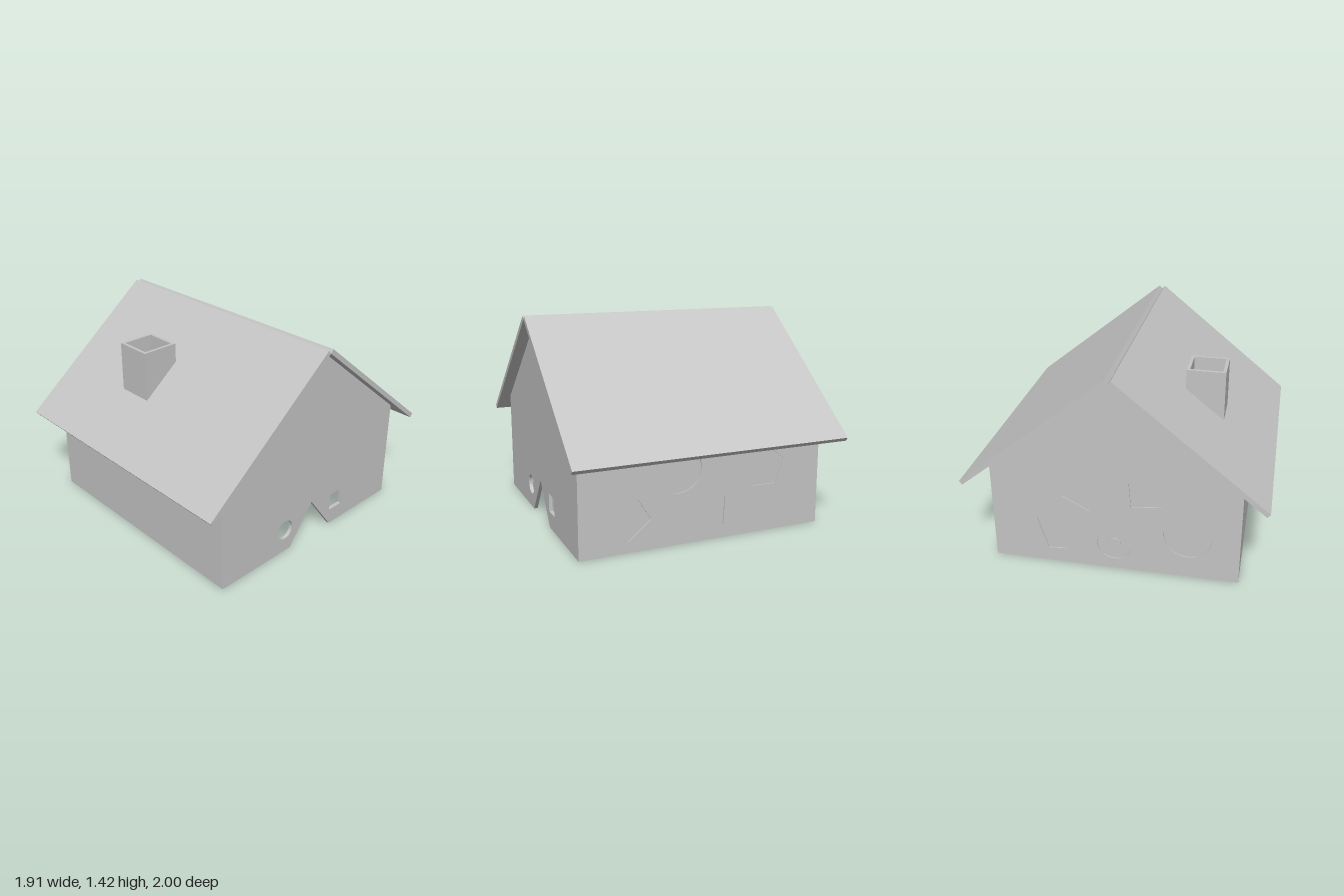
import * as THREE from 'three';

const gray = new THREE.MeshStandardMaterial({ color: 0xc4c4c4 });
gray.name = 'plain gray';
const T = 0.025; // wall thickness

const V = (x, y) => new THREE.Vector2(x, y);
const poly = (pts) => pts.map(([x, y]) => V(x, y));
// Regular polygon or circle outline
const ngon = (cx, cy, r, n = 40, turn = Math.PI / 2) =>
  Array.from({ length: n }, (_, i) => {
    const a = turn + (i / n) * Math.PI * 2;
    return V(cx + r * Math.cos(a), cy + r * Math.sin(a));
  });

function add(group, name, geometry) {
  const m = new THREE.Mesh(geometry, gray);
  m.name = name;
  group.add(m);
  return m;
}

function plate(outline, holes, depth) {
  const s = new THREE.Shape(outline);
  holes.forEach((h) => s.holes.push(new THREE.Path(h)));
  return new THREE.ExtrudeGeometry(s, { depth, bevelEnabled: false });
}

// Wall in its own xy plane, with shaped inserts set back by lo and hi from its two faces
function wall(name, outline, cutouts, inserts, lo, hi) {
  const g = new THREE.Group();
  g.name = name;
  add(g, name + 'Panel', plate(outline, [...cutouts, ...inserts], T));
  inserts.forEach((o) => {
    add(g, 'shapeInsert', plate(o, [], T - lo - hi)).position.z = lo;
  });
  return g;
}

export function createModel() {
  const house = new THREE.Group();
  house.name = 'house';

  // Long walls, between the gables
  const side = poly([[-0.82, 0], [0.85, 0], [0.85, 0.735], [-0.82, 0.735]]);
  const front = wall('frontWall', side, [], [
    ngon(0.4, 0.23, 0.14, 8, 0.2),
    poly([[0.16, 0.55], [0.12, 0.415], [-0.014, 0.446], [0.025, 0.58]]),
    poly([[-0.32, 0.507], [-0.594, 0.35], [-0.32, 0.193]]),
  ], 0.01, 0);
  front.position.z = 0.83 - T;

  const back = wall('backWall', side, [], [
    poly([[0.643, 0.227], [0.489, 0.35], [0.392, 0.2], [0.547, 0.075]]),
    ngon(0.2, 0.5, 0.155),
    poly([[0.045, 0.197], [-0.13, 0.285], [-0.12, 0.095]]),
    ngon(-0.425, 0.445, 0.15, 5),
  ], 0.008, 0.008);
  back.position.z = -0.83;

  // Gable walls, drawn with u = -z and turned to face sideways
  const top = [[0.83, 0.735], [0, 1.405], [-0.83, 0.735]];
  const gable = poly([[-0.83, 0], [0.83, 0], ...top]);
  const left = wall('gableWithInserts', gable, [], [
    ngon(0, 0.19, 0.115),
    poly([[0.35, 0.527], [0.176, 0.65], [0.163, 0.426]]),
    poly([[-0.1, 0.67], [-0.302, 0.705], [-0.315, 0.52], [-0.113, 0.49]]),
    ngon(-0.49, 0.315, 0.16),
    poly([[0.528, 0.336], [0.4, 0.345], [0.327, 0.11], [0.453, 0.1]]),
  ], 0.008, 0.008);
  add(left, 'insertBoss', plate(ngon(0, 0.19, 0.045), [], T));
  left.rotation.y = Math.PI / 2;
  left.position.x = -0.845;

  // Open gable with doorway notch and two window holes
  const notched = poly([[-0.83, 0], [-0.205, 0], [0, 0.275], [0.205, 0], [0.83, 0], ...top]);
  const right = wall('doorwayGable', notched, [
    ngon(-0.26, 0.17, 0.07),
    poly([[0.2, 0.115], [0.325, 0.115], [0.325, 0.24], [0.2, 0.24]]),
  ], [], 0, 0);
  right.rotation.y = Math.PI / 2;
  right.position.x = 0.875 - T;
  house.add(front, back, left, right);

  // Two roof slabs meeting in a small groove at the ridge
  for (const s of [-1, 1]) {
    const section = poly([[0, 1.395], [s * 0.98, 0.602], [s, 0.627], [s * 0.02, 1.42]]);
    const slab = add(house, 'roofSlab', plate(section, [], 1.91));
    slab.rotation.y = Math.PI / 2;
    slab.position.x = -0.955;
  }

  // Hollow chimney whose foot follows the roof slope
  const box = (r) => poly([[-r, -r], [r, -r], [r, r], [-r, r]]);
  const chimney = plate(box(0.13), [box(0.108)], 1).rotateX(-Math.PI / 2);
  chimney.translate(-0.2, 0, 0.51);
  const p = chimney.attributes.position;
  for (let i = 0; i < p.count; i++) {
    p.setY(i, p.getY(i) > 0.5 ? 1.26 : 1.405 - 0.809 * p.getZ(i));
  }
  chimney.computeVertexNormals();
  add(house, 'chimney', chimney);

  // Balls inside the house
  [[-0.34, 0.6, 0.09, 0.06], [-0.65, 0.6, 0.46, 0.07],
    [-0.75, 0.6, 0.38, 0.038], [-0.19, 0.45, 0.775, 0.04]].forEach(([x, y, z, r]) => {
    add(house, 'ball', new THREE.SphereGeometry(r, 24, 16)).position.set(x, y, z);
  });

  return house;
}
